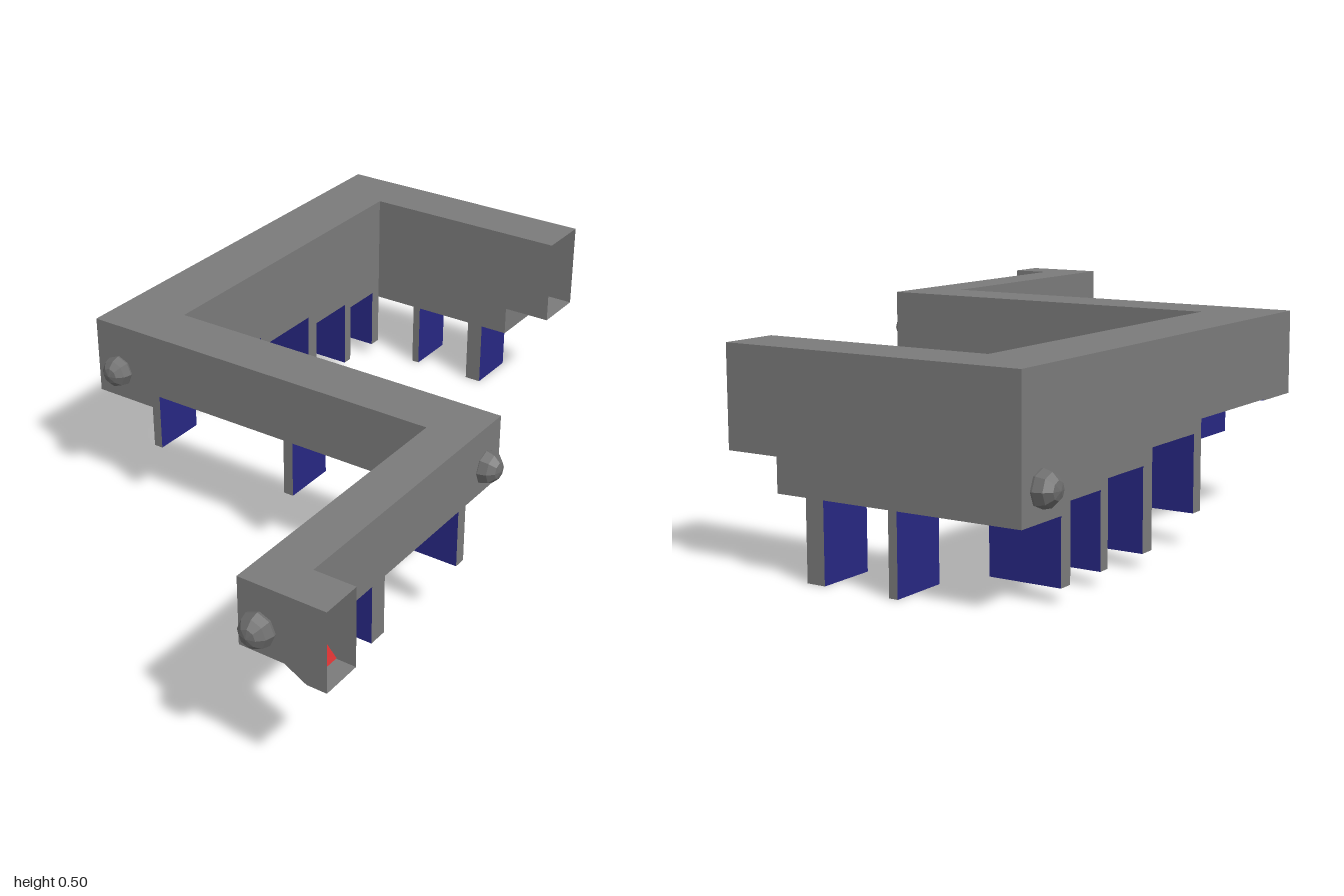
import * as THREE from 'three';

export function createModel() {
  const model = new THREE.Group();
  const mat = (name, color) => {
    const m = new THREE.MeshStandardMaterial({ color, side: THREE.DoubleSide });
    m.name = name;
    return m;
  };
  const grey = mat('wall grey', 0x7a7a7a);
  const blue = mat('floor blue', 0x272782);
  const red = mat('grate red', 0xcc2222);
  const dark = mat('stud grey', 0x6c6c6c);

  const FACES = ['px', 'nx', 'py', 'ny', 'pz', 'nz'];

  const add = (name, geometry, material) => {
    const mesh = new THREE.Mesh(geometry, material);
    mesh.name = name;
    model.add(mesh);
    return mesh;
  };

  // Box given by its limits: faces in "open" are left out, faces in "blues" are blue
  function box(name, [x0, x1], [y0, y1], [z0, z1], open = [], blues = []) {
    const g = new THREE.BoxGeometry(x1 - x0, y1 - y0, z1 - z0);
    g.translate((x0 + x1) / 2, (y0 + y1) / 2, (z0 + z1) / 2);
    const source = Array.from(g.index.array);
    const index = [];
    g.clearGroups();
    FACES.forEach((f, i) => {
      if (open.includes(f)) return;
      g.addGroup(index.length, 6, blues.includes(f) ? 1 : 0);
      index.push(...source.slice(i * 6, i * 6 + 6));
    });
    g.setIndex(index);
    return add(name, g, [grey, blue]);
  }

  const TOP = 0.5;
  const LX = [-0.59, -0.415];  // left hall
  const BZ = [-1, -0.855];     // back hall
  const MZ = [0.08, 0.225];    // middle hall
  const RX = [0.415, 0.53];    // right hall
  const hall = (name, x, y, z, open, floor = ['ny']) => box(name, x, [y, TOP], z, open, floor);

  // Back hall, with a raised open end
  hall('backHallTip', [0.03, 0.165], 0.265, BZ, ['px', 'nx'], []);
  hall('backHallLanding', [-0.05, 0.03], 0.185, BZ, ['px', 'nx'], []);
  hall('backHall', [LX[1], -0.05], 0.185, BZ, ['px', 'nx']);
  box('backHallRiser', [0.028, 0.03], [0.185, 0.265], BZ);
  hall('backCorner', LX, 0.185, BZ, ['px', 'pz']);

  // Left hall, stepping down towards the back
  const steps = [[-0.855, -0.67, 0.21], [-0.67, -0.48, 0.23], [-0.48, -0.25, 0.265], [-0.25, 0.08, 0.295]];
  steps.forEach(([z0, z1, y]) => hall('leftHallStep', LX, y, [z0, z1], ['pz', 'nz']));

  // Middle and right halls
  hall('middleCorner', LX, 0.292, MZ, ['px', 'nz']);
  hall('middleHall', [LX[1], RX[0]], 0.33, MZ, ['px', 'nx']);
  hall('rightCorner', RX, 0.33, MZ, ['nx', 'pz']);
  hall('rightHall', RX, 0.33, [MZ[1], 0.845], ['pz', 'nz']);
  hall('rightHallEnd', RX, 0.33, [0.845, 0.95], ['nz', 'px']);

  // Short open side passage with a sloping floor
  const outline = new THREE.Shape([[0.53, TOP], [0.53, 0.33], [0.585, 0.3], [0.635, 0.3], [0.635, TOP]]
    .map(([x, y]) => new THREE.Vector2(x, y)));
  [0.845, 0.95].forEach((z) => add('passageWall', new THREE.ShapeGeometry(outline).translate(0, 0, z), grey));
  // Sheet across the passage from one point of its section to another
  function sheet(name, [xa, ya], [xb, yb], material) {
    const g = new THREE.PlaneGeometry(Math.hypot(xb - xa, yb - ya), 0.105);
    g.rotateX(-Math.PI / 2).rotateZ(Math.atan2(yb - ya, xb - xa));
    g.translate((xa + xb) / 2, (ya + yb) / 2, 0.8975);
    add(name, g, material);
  }
  sheet('passageRoof', [0.53, TOP], [0.635, TOP], grey);
  sheet('passageSlope', [0.53, 0.33], [0.585, 0.3], grey);
  sheet('passageFloor', [0.585, 0.3], [0.635, 0.3], grey);
  sheet('passageGrate', [0.532, 0.36], [0.587, 0.302], red);

  // Hanging panels: blue broad faces with grey edges
  [[-0.285, -0.25, 0.08, 0.295], [-0.52, -0.48, 0.035, 0.265], [-0.7, -0.67, 0.035, 0.23], [-0.855, -0.82, 0.035, 0.21]]
    .forEach(([z0, z1, y0, y1]) => box('leftPanel', LX, [y0, y1], [z0, z1], ['py'], ['pz', 'nz']));
  [[0.23, 0.262], [0.575, 0.625]]
    .forEach((z) => box('rightPanel', RX, [0.178, 0.33], z, ['py'], ['pz', 'nz']));
  [[-0.415, -0.39], [0.005, 0.032]]
    .forEach((x) => box('middlePanel', x, [0.178, 0.33], MZ, ['py'], ['px', 'nx']));
  [[-0.287, -0.265], [-0.095, -0.048]]
    .forEach((x) => box('backPanel', x, [0, 0.185], BZ, ['py'], ['px', 'nx']));

  // Faceted studs at the corners, poles pointing out of the walls
  const studs = [
    [0.47, 0.395, 0.957, 'z'], [-0.52, 0.37, 0.23, 'z'],
    [0.532, 0.395, 0.145, 'x'], [-0.595, 0.255, -0.93, 'x'],
  ];
  dark.flatShading = true;
  studs.forEach(([x, y, z, axis]) => {
    const g = new THREE.SphereGeometry(0.042, 8, 6);
    if (axis === 'z') g.rotateX(Math.PI / 2);
    else g.rotateZ(Math.PI / 2);
    add('cornerStud', g.translate(x, y, z), dark);
  });

  return model;
}
